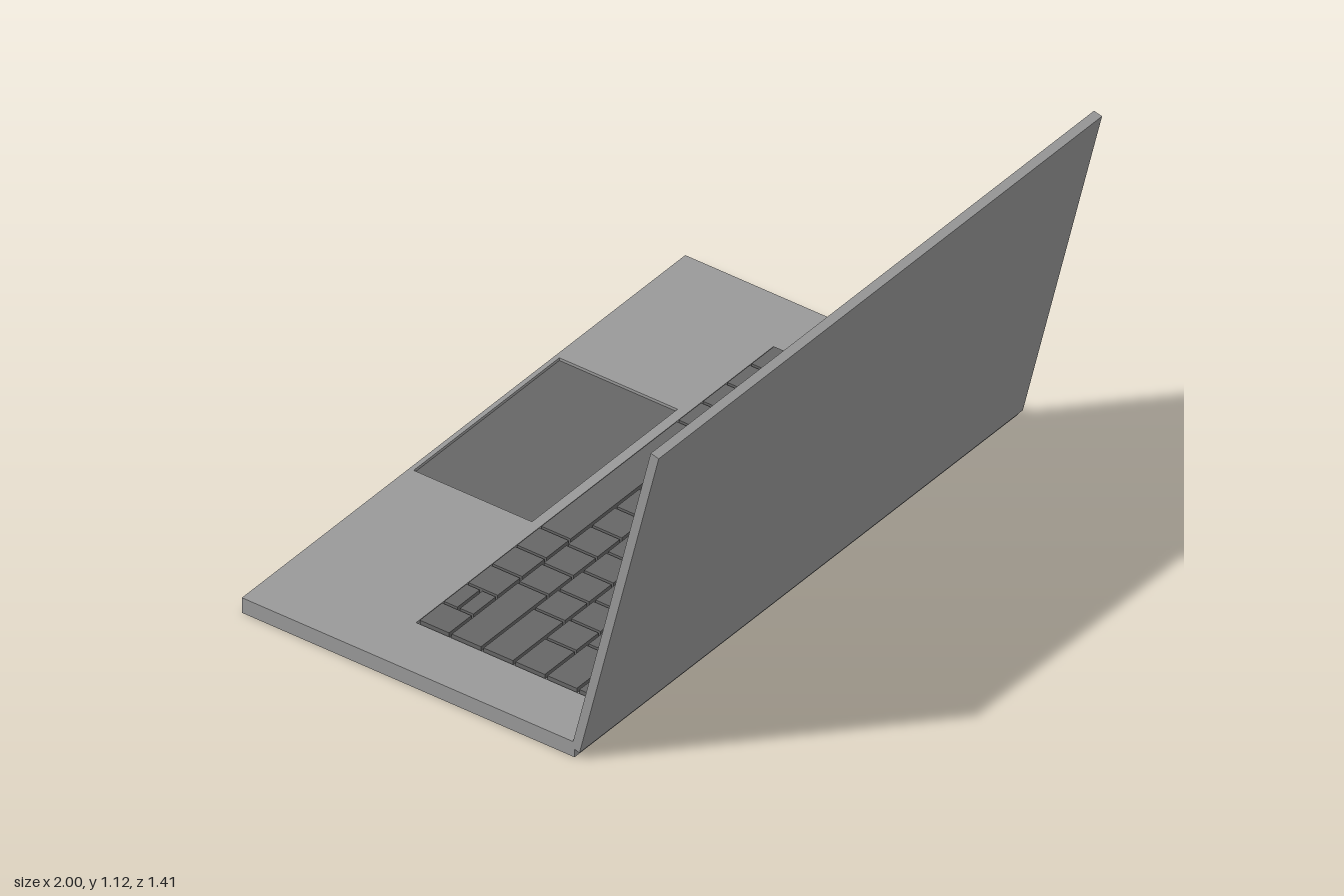
import * as THREE from 'three';

const GREY = new THREE.MeshStandardMaterial({ color: 0x999999 });
const DARK = new THREE.MeshStandardMaterial({ color: 0x666666 });
const RECESS = 0.009;

function rect(target, x0, y0, x1, y1) {
  target.moveTo(x0, y0);
  target.lineTo(x1, y0);
  target.lineTo(x1, y1);
  target.lineTo(x0, y1);
  target.closePath();
  return target;
}

// Slab facing +z with shallow panels sunk into its front
function insetSlab(name, outer, depth, insets) {
  const group = new THREE.Group();
  const shape = rect(new THREE.Shape(), ...outer);
  for (const inset of insets) {
    const [x0, y0, x1, y1] = inset.box;
    shape.holes.push(rect(new THREE.Path(), x0, y0, x1, y1));
    const plane = new THREE.PlaneGeometry(x1 - x0, y1 - y0);
    const panel = new THREE.Mesh(plane, inset.material);
    panel.name = inset.name;
    panel.position.set((x0 + x1) / 2, (y0 + y1) / 2, depth - RECESS);

    // Closes the back of the slab behind the panel
    const cover = new THREE.Mesh(plane, GREY);
    cover.name = inset.name + 'Cover';
    cover.position.set((x0 + x1) / 2, (y0 + y1) / 2, 0);
    cover.rotation.y = Math.PI;
    group.add(panel, cover);
  }
  const slab = new THREE.Mesh(
    new THREE.ExtrudeGeometry(shape, { depth, bevelEnabled: false }), GREY);
  slab.name = name;
  group.add(slab);
  return group;
}

// Keyboard rows from the front edge towards the hinge, widths in key units
const ones = (n, w = 1) => Array(n).fill(w);
const ROWS = [
  [...ones(5), 5.65, ...ones(4)],
  [2.8, ...ones(10), 1.87],
  [2.15, ...ones(11), 1.57],
  [1.3, ...ones(12), 1.4],
  [1.7, ...ones(13)],
  [0.5, ...ones(16, 0.89)],
];

function createKeyboard() {
  const keyboard = new THREE.Group();
  keyboard.name = 'keyboard';
  const left = -0.803, width = 1.607, gap = 0.009;
  const bottom = 0.05 - RECESS, top = 0.057;
  const addKey = (x, z, w, d) => {
    const key = new THREE.Mesh(new THREE.BoxGeometry(w, top - bottom, d), DARK);
    key.name = 'key';
    key.position.set(x + w / 2, (top + bottom) / 2, z + d / 2);
    keyboard.add(key);
  };
  ROWS.forEach((row, r) => {
    const unit = width / row.reduce((a, b) => a + b, 0);
    const z = -0.251 + r * 0.108;
    const depth = r === 5 ? 0.028 : 0.099;
    let x = left;
    row.forEach((w, i) => {
      const keyWidth = w * unit - gap;
      if (r === 0 && i === 1) {
        // Two half-depth keys stacked in one place
        addKey(x, z, keyWidth, 0.045);
        addKey(x, z + 0.054, keyWidth, 0.045);
      } else {
        addKey(x, z, keyWidth, depth);
      }
      x += w * unit;
    });
  });
  return keyboard;
}

export function createModel() {
  const model = new THREE.Group();
  model.name = 'laptop';

  // Base lies flat with the trackpad near the -z edge
  const base = insetSlab('baseBody', [-1, -0.42, 1, 0.705], 0.05, [
    { name: 'trackpad', box: [-0.245, 0.29, 0.412, 0.69], material: DARK },
    { name: 'keyboardWell', box: [-0.81, -0.324, 0.802, 0.258], material: GREY },
  ]);
  base.name = 'base';
  base.rotation.x = -Math.PI / 2;

  // Lid opens at the +z edge and leans back
  const lid = new THREE.Group();
  lid.name = 'lid';
  const display = insetSlab('lidFrame', [-1, 0, 1, 1.123], 0.028, [
    { name: 'screen', box: [-0.954, 0.11, 0.954, 1.07], material: DARK },
  ]);
  display.name = 'display';
  display.rotation.y = Math.PI;
  lid.add(display);
  lid.position.set(0, 0.022, 0.437);
  lid.rotation.x = 0.241;

  model.add(base, createKeyboard(), lid);
  return model;
}
